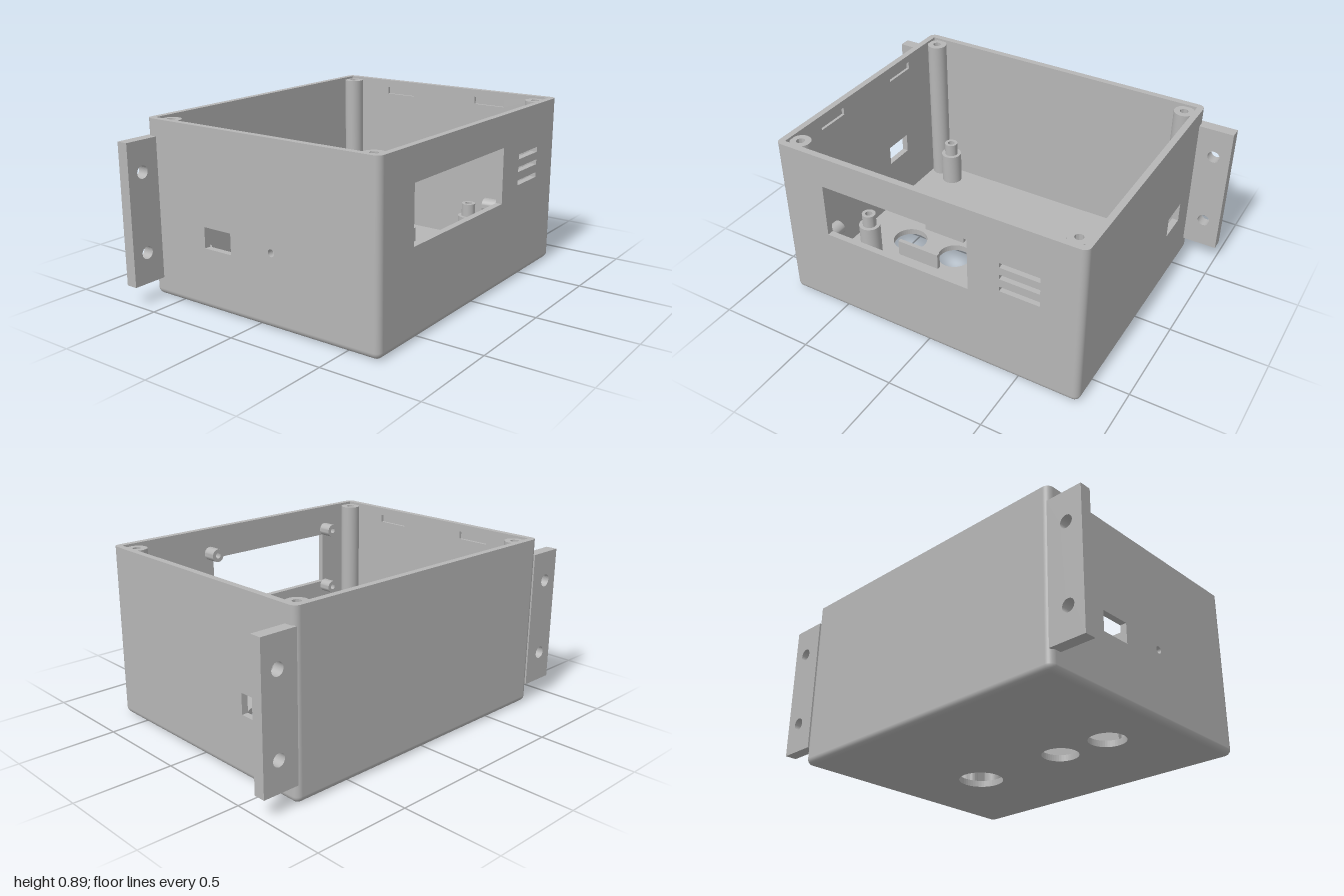
import * as THREE from 'three';
import { toCreasedNormals } from 'three/addons/utils/BufferGeometryUtils.js';

const X = 0.82, Z = 0.675, H = 0.89; // half width, half depth, height
const T = 0.033;                     // wall thickness, also the outer edge radius

const grey = new THREE.MeshStandardMaterial({ color: 0xb6b6b6 });
grey.name = 'grey plastic';

function rect(x0, x1, y0, y1, Type = THREE.Path) {
  const p = new Type();
  p.moveTo(x0, y0);
  p.lineTo(x1, y0);
  p.lineTo(x1, y1);
  p.lineTo(x0, y1);
  p.closePath();
  return p;
}

function circle(x, y, r) {
  const p = new THREE.Path();
  p.absarc(x, y, r, 0, Math.PI * 2, true);
  return p;
}

function plate(shape, holes, depth) {
  shape.holes.push(...holes);
  return new THREE.ExtrudeGeometry(shape, { depth, bevelEnabled: false, curveSegments: 24 });
}

// Upright wall layer facing +z, from distance z0 outwards, then turned about y
function wall(halfWidth, holes, z0, depth, angle) {
  const w = halfWidth - T;
  return plate(rect(-w, w, T, H, THREE.Shape), holes, depth).translate(0, 0, z0).rotateY(angle);
}

// Round post with a blind screw hole; steps are [radius, top height] from the bottom up
function post(steps, holeRadius, holeDepth) {
  const pts = [];
  let y = 0;
  for (const [r, top] of steps) {
    pts.push(new THREE.Vector2(r, y), new THREE.Vector2(r, top));
    y = top;
  }
  pts.push(new THREE.Vector2(holeRadius, y), new THREE.Vector2(holeRadius, y - holeDepth),
    new THREE.Vector2(0, y - holeDepth));
  return toCreasedNormals(new THREE.LatheGeometry(pts, 32), 0.6);
}

export function createModel() {
  const model = new THREE.Group();
  model.name = 'enclosure';
  const add = (name, geometry, x = 0, y = 0, z = 0) => {
    const mesh = new THREE.Mesh(geometry, grey);
    mesh.name = name;
    mesh.position.set(x, y, z);
    model.add(mesh);
  };
  const q = Math.PI / 2;

  // Floor with three round sensor openings
  add('floor', plate(rect(-X + T, X - T, -Z + T, Z - T, THREE.Shape), [
    circle(-0.505, -0.085, 0.093), circle(-0.215, -0.085, 0.093), circle(0.33, -0.085, 0.115),
  ], T).rotateX(-q));

  // Front wall with display window and three vents
  const frontHoles = [rect(-0.56, 0.24, 0.44, 0.725)];
  for (const y of [0.513, 0.582, 0.648]) frontHoles.push(rect(0.405, 0.61, y - 0.013, y + 0.013));
  add('frontWall', wall(X, frontHoles, Z - T, T, 0));
  add('backWall', wall(X, [], Z - T, T, Math.PI));

  // Side walls: the inner layer also carries the blind lid grooves
  const grooves = () => [rect(-0.38, -0.2, 0.81, 0.85), rect(0.2, 0.38, 0.81, 0.85)];
  const sides = [
    ['leftWall', q, () => [rect(0.315, 0.475, 0.305, 0.41)]],
    ['rightWall', -q, () => [rect(-0.32, -0.155, 0.305, 0.41), circle(0.09, 0.365, 0.018)]],
  ];
  for (const [name, angle, holes] of sides) {
    add(name + 'Outer', wall(Z, holes(), X - 0.018, 0.018, angle));
    add(name + 'Inner', wall(Z, [...holes(), ...grooves()], X - T, T - 0.018, angle));
  }

  // Rounded vertical corners, bottom corners and bottom edges
  for (let k = 0; k < 4; k++) {
    const cx = (k < 2 ? 1 : -1) * (X - T);
    const cz = (k === 0 || k === 3 ? 1 : -1) * (Z - T);
    add('cornerEdge', new THREE.CylinderGeometry(T, T, H - T, 8, 1, false, k * q, q), cx, (H + T) / 2, cz);
    add('bottomCorner', new THREE.SphereGeometry(T, 8, 8, q + k * q, q, q, q), cx, T, cz);
    const [half, out] = k % 2 ? [Z, X] : [X, Z];
    add('bottomEdge', new THREE.CylinderGeometry(T, T, 2 * (half - T), 8, 1, true, 3 * q, q)
      .rotateZ(q).translate(0, T, out - T).rotateY(k * q));
  }

  // Mirrored parts: lid posts, board posts and mounting flanges
  for (const s of [-1, 1]) {
    for (const z of [-0.595, 0.59])
      add('lidPost', post([[0.052, H - T - 0.012]], 0.021, 0.25), s * 0.738, T, z);
    for (const z of [-0.545, 0.27])
      add('boardPost', post([[0.057, 0.18], [0.037, 0.25]], 0.019, 0.15), s * 0.632, T, z);
    const inner = s * (X - 0.01), outer = s;
    add('mountingFlange', plate(
      rect(Math.min(inner, outer), Math.max(inner, outer), 0.095, 0.805, THREE.Shape),
      [circle(s * 0.915, 0.25, 0.032), circle(s * 0.915, 0.65, 0.032)], 0.06), 0, 0, -Z);
  }

  // Small sensor posts around the large opening
  for (const x of [0.135, 0.525])
    for (const z of [-0.04, 0.21])
      add('sensorPost', post([[0.028, 0.08]], 0.013, 0.06), x, T, z);

  // Ridges that hold the twin sensor
  for (const z of [-0.046, 0.212])
    add('sensorRidge', new THREE.BoxGeometry(0.25, 0.09, 0.022), -0.36, T + 0.045, z);

  // Display bosses on the inside of the front wall
  for (const x of [-0.575, 0.26])
    for (const y of [0.415, 0.757])
      add('displayBoss', post([[0.035, 0.072]], 0.015, 0.06).rotateX(-q), x, y, Z - T);

  return model;
}
